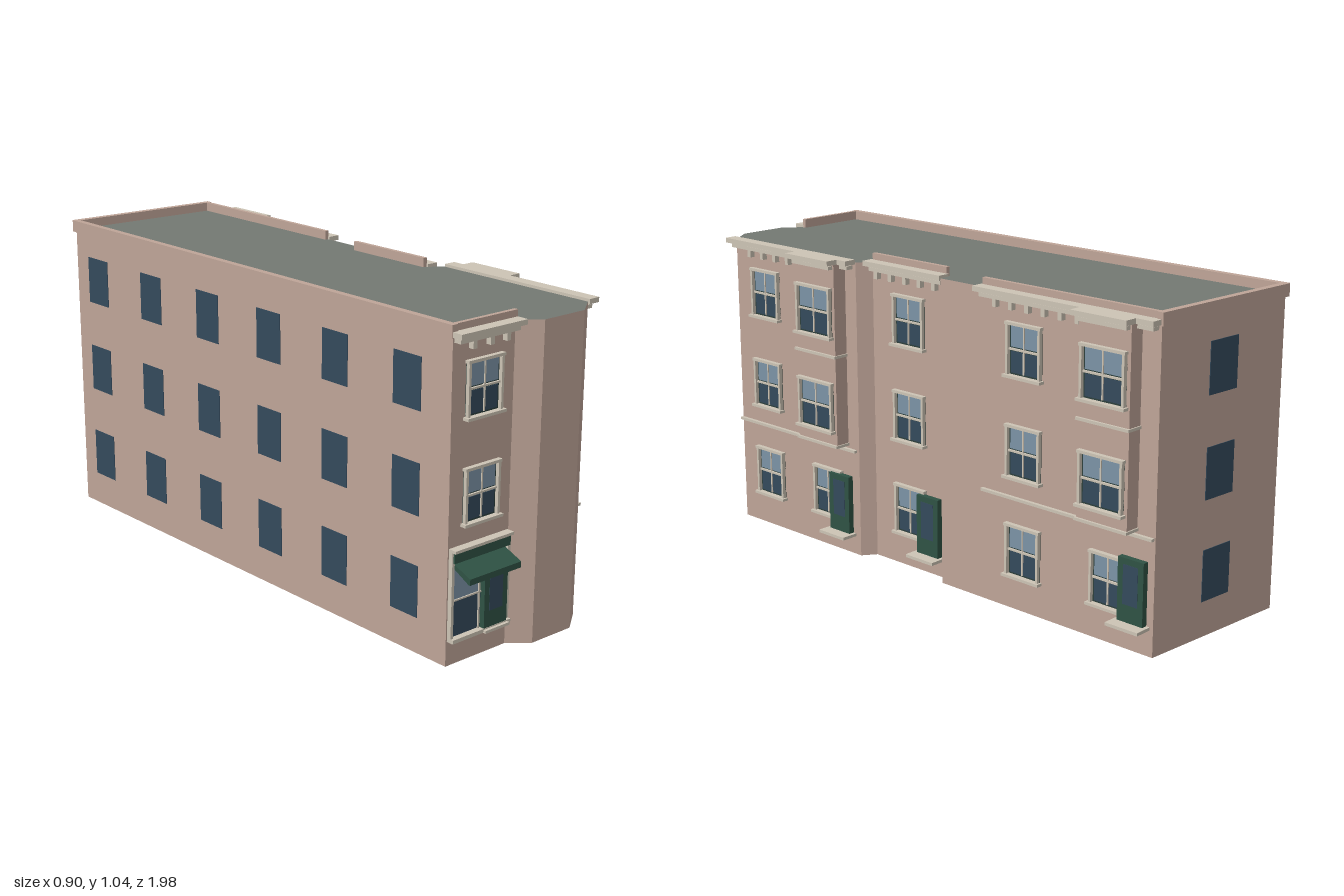
import * as THREE from 'three';

const mat = (color) => new THREE.MeshStandardMaterial({ color });
const BRICK = mat(0xbfa598), ROOF = mat(0x747973), TRIM = mat(0xcdc4b5), GREEN = mat(0x2f5244),
  SKY = mat(0x7b93a6), DARK = mat(0x344a5c), FRAME = mat(0x2c3f3c);

// Footprint corners (x, z), starting at the front left and running round by the right side
const PLAN = [[-0.15, 0.92], [0.095, 0.885], [0.168, 0.928], [0.333, 0.905], [0.405, 0.835], [0.312, 0.24],
  [0.262, 0.215], [0.208, -0.12], [0.243, -0.127], [0.11, -0.975], [-0.443, -0.925]];
const ROOF_Y = 1.01;
// Bottom and top of the windows on each storey
const STOREYS = [[0.115, 0.28], [0.437, 0.6], [0.758, 0.92]];

// Box centred at (x, y) whose back lies at z
function box(parent, name, material, x, y, w, h, z, d) {
  const mesh = new THREE.Mesh(new THREE.BoxGeometry(w, h, d), material);
  mesh.position.set(x, y, z + d / 2);
  mesh.name = name;
  parent.add(mesh);
  return mesh;
}

// Group lying on a wall: x runs along it, z points outward
function wall(root, index, name) {
  const [a, b] = [PLAN[index], PLAN[(index + 1) % PLAN.length]];
  const dx = b[0] - a[0], dz = b[1] - a[1];
  const g = new THREE.Group();
  g.name = name;
  g.position.set(a[0], 0, a[1]);
  g.rotation.y = Math.atan2(-dz, dx);
  g.userData.length = Math.hypot(dx, dz);
  root.add(g);
  // distance along the wall of a world x or z
  g.userData.atX = (x) => (x - a[0]) / dx * g.userData.length;
  g.userData.atZ = (z) => (z - a[1]) / dz * g.userData.length;
  return g;
}

// Sash window with surround, glazing bars and sill
function sashWindow(parent, x, y0, y1, w, z = 0) {
  const g = new THREE.Group();
  g.name = 'sashWindow';
  g.position.set(x, 0, z);
  parent.add(g);
  const h = y1 - y0, mid = (y0 + y1) / 2, t = 0.009;
  box(g, 'windowBacking', FRAME, 0, mid, w, h, 0, 0.002);
  box(g, 'upperGlass', SKY, 0, mid + h / 4, w - 0.03, h / 2 - 0.014, 0, 0.005);
  box(g, 'lowerGlass', DARK, 0, mid - h / 4, w - 0.03, h / 2 - 0.014, 0, 0.004);
  for (const s of [-1, 1]) box(g, 'sideSurround', TRIM, s * (w - t) / 2, mid, t, h, 0, 0.014);
  box(g, 'headSurround', TRIM, 0, y1 - t / 2 + 0.003, w + 0.006, t, 0, 0.016);
  box(g, 'meetingRail', TRIM, 0, mid, w - 0.02, 0.006, 0, 0.009);
  box(g, 'glazingBar', TRIM, 0, mid, 0.005, h - 0.014, 0, 0.008);
  box(g, 'sill', TRIM, 0, y0 - 0.003, w + 0.014, 0.009, 0, 0.022);
}

// Glazed door with a step
function door(parent, x, y0, z = 0, stepWidth = 0.12) {
  const g = new THREE.Group();
  g.name = 'door';
  g.position.set(x, 0, z);
  parent.add(g);
  box(g, 'doorLeaf', GREEN, 0, y0 + 0.1, 0.095, 0.2, 0, 0.02);
  box(g, 'doorGlass', DARK, 0, y0 + 0.118, 0.055, 0.125, 0.018, 0.003);
  if (stepWidth) box(g, 'doorStep', TRIM, 0, y0 - 0.005, stepWidth, 0.01, 0, 0.06);
}

// Two-layer cornice over a run of wall, from a to b
function cornice(parent, a, b, z = 0) {
  const x = (a + b) / 2, w = b - a;
  box(parent, 'corniceBed', TRIM, x, 0.992, w - 0.01, 0.012, z, 0.026);
  box(parent, 'corniceCap', TRIM, x, 1.011, w + 0.014, 0.016, z, 0.042);
}

function brackets(parent, positions) {
  for (const x of positions) box(parent, 'bracket', TRIM, x, 0.973, 0.015, 0.026, 0, 0.018);
}

// Two-storey projecting bay
function bay(parent, x) {
  const g = new THREE.Group();
  g.name = 'bay';
  g.position.x = x;
  parent.add(g);
  const w = 0.19, d = 0.05;
  box(g, 'bayBody', BRICK, 0, 0.695, w, 0.63, 0, d);
  for (const y of [0.385, 0.693]) box(g, 'bayBand', TRIM, 0, y, w + 0.008, 0.009, 0, d + 0.008);
  for (const [y0, y1] of STOREYS.slice(1)) sashWindow(g, 0, y0, y1, 0.165, d);
  cornice(g, -w / 2, w / 2, d - 0.008);
}

export function createModel() {
  const root = new THREE.Group();
  root.name = 'cornerBuilding';

  // Main block
  const shape = new THREE.Shape(PLAN.map(([x, z]) => new THREE.Vector2(x, -z)));
  const bodyGeo = new THREE.ExtrudeGeometry(shape, { depth: ROOF_Y, bevelEnabled: false });
  bodyGeo.rotateX(-Math.PI / 2);
  const body = new THREE.Mesh(bodyGeo, [ROOF, BRICK]);
  body.name = 'walls';
  root.add(body);

  // Shop front
  const front = wall(root, 0, 'frontWall');
  const fl = front.userData.length, fx = front.userData.atX;
  const mid = fx(-0.027);
  for (const [y0, y1] of STOREYS.slice(1)) sashWindow(front, mid, y0, y1 + 0.004, 0.14);
  const shop = new THREE.Group();
  shop.name = 'shopFront';
  front.add(shop);
  box(shop, 'shopBacking', FRAME, mid, 0.205, 0.225, 0.24, 0, 0.002);
  box(shop, 'shopUpperGlass', SKY, mid, 0.262, 0.21, 0.108, 0, 0.006);
  box(shop, 'shopLowerGlass', DARK, mid, 0.148, 0.21, 0.112, 0, 0.006);
  for (const s of [-1, 1]) box(shop, 'shopJamb', TRIM, mid + s * 0.115, 0.225, 0.01, 0.28, 0, 0.015);
  box(shop, 'shopMullion', TRIM, mid, 0.2, 0.006, 0.22, 0, 0.01);
  box(shop, 'shopTransom', TRIM, mid, 0.207, 0.22, 0.005, 0, 0.01);
  box(shop, 'shopSill', TRIM, mid, 0.085, 0.24, 0.012, 0, 0.025);
  box(shop, 'shopFascia', GREEN, mid, 0.346, 0.23, 0.034, 0, 0.02);
  box(shop, 'fasciaMoulding', TRIM, mid, 0.367, 0.24, 0.009, 0, 0.028);
  door(shop, fx(0.028), 0.088, 0.004, 0);
  box(shop, 'shopStep', TRIM, fx(0.028), 0.083, 0.1, 0.009, 0, 0.035);

  // Sloping awning with a short valance, drawn in section and extruded along the wall
  const section = new THREE.Shape([[0, 0.325], [0, 0.312], [0.068, 0.277], [0.074, 0.277], [0.074, 0.296]]
    .map(([z, y]) => new THREE.Vector2(-z, y)));
  const awningGeo = new THREE.ExtrudeGeometry(section, { depth: 0.21, bevelEnabled: false });
  awningGeo.rotateY(Math.PI / 2);
  const awning = new THREE.Mesh(awningGeo, GREEN);
  awning.name = 'awning';
  awning.position.x = mid - 0.105;
  shop.add(awning);
  cornice(front, 0, fl);
  brackets(front, [-0.08, -0.012, 0.053].map(fx));

  // Right side in three stretches: [wall, plain windows, bay, belt, door, door foot, cornice, first bracket, count]
  const stretches = [
    { i: 4, name: 'rightFrontWall', win: 0.685, bay: 0.385, door: 0.315, y: 0.077, from: 0.835, to: 0.25, br: 0.75, n: 5 },
    { i: 6, name: 'rightMiddleWall', win: 0.05, door: -0.045, y: 0.072, from: 0.212, to: -0.115, br: 0.185, n: 5 },
    { i: 8, name: 'rightBackWall', win: -0.475, bay: -0.815, door: -0.908, y: 0.097, from: -0.305, to: -0.97, br: -0.365, n: 6 },
  ];
  for (const s of stretches) {
    const g = wall(root, s.i, s.name);
    const at = g.userData.atZ, a = at(s.from), b = at(s.to);
    for (const [y0, y1] of STOREYS) sashWindow(g, at(s.win), y0, y1, 0.137);
    if (s.bay) {
      bay(g, at(s.bay));
      sashWindow(g, at(s.bay + 0.005), ...STOREYS[0], 0.137);
      box(g, 'beltCourse', TRIM, (a + b) / 2, 0.367, b - a, 0.009, 0, 0.012);
    }
    door(g, at(s.door), s.y, 0.006);
    cornice(g, a, b);
    brackets(g, Array.from({ length: s.n }, (_, k) => at(s.br - k * 0.064)));
    if (s.i > 4) box(g, 'parapet', BRICK, (a + b) / 2, 1.022, b - a, 0.036, -0.012, 0.014);
  }

  // Plain windows on the left and back walls
  const left = wall(root, 10, 'leftWall'), back = wall(root, 9, 'backWall');
  for (const [y0, y1] of STOREYS) {
    const y = (y0 + y1) / 2, h = y1 - y0;
    for (let k = 0; k < 6; k++)
      box(left, 'leftWindow', DARK, left.userData.atX(-0.423 + k * 0.049), y, 0.115, h, -0.002, 0.004);
    box(back, 'backWindow', DARK, back.userData.length / 2, y, 0.125, h, -0.002, 0.004);
  }

  // Parapet round the front, left and back
  for (const g of [front, left, back]) {
    const l = g.userData.length, out = g === front ? 0.002 : 0.01;
    box(g, 'parapet', BRICK, l / 2, 1.02, l + 0.014, 0.04, -0.012, 0.012 + out);
  }
  return root;
}
